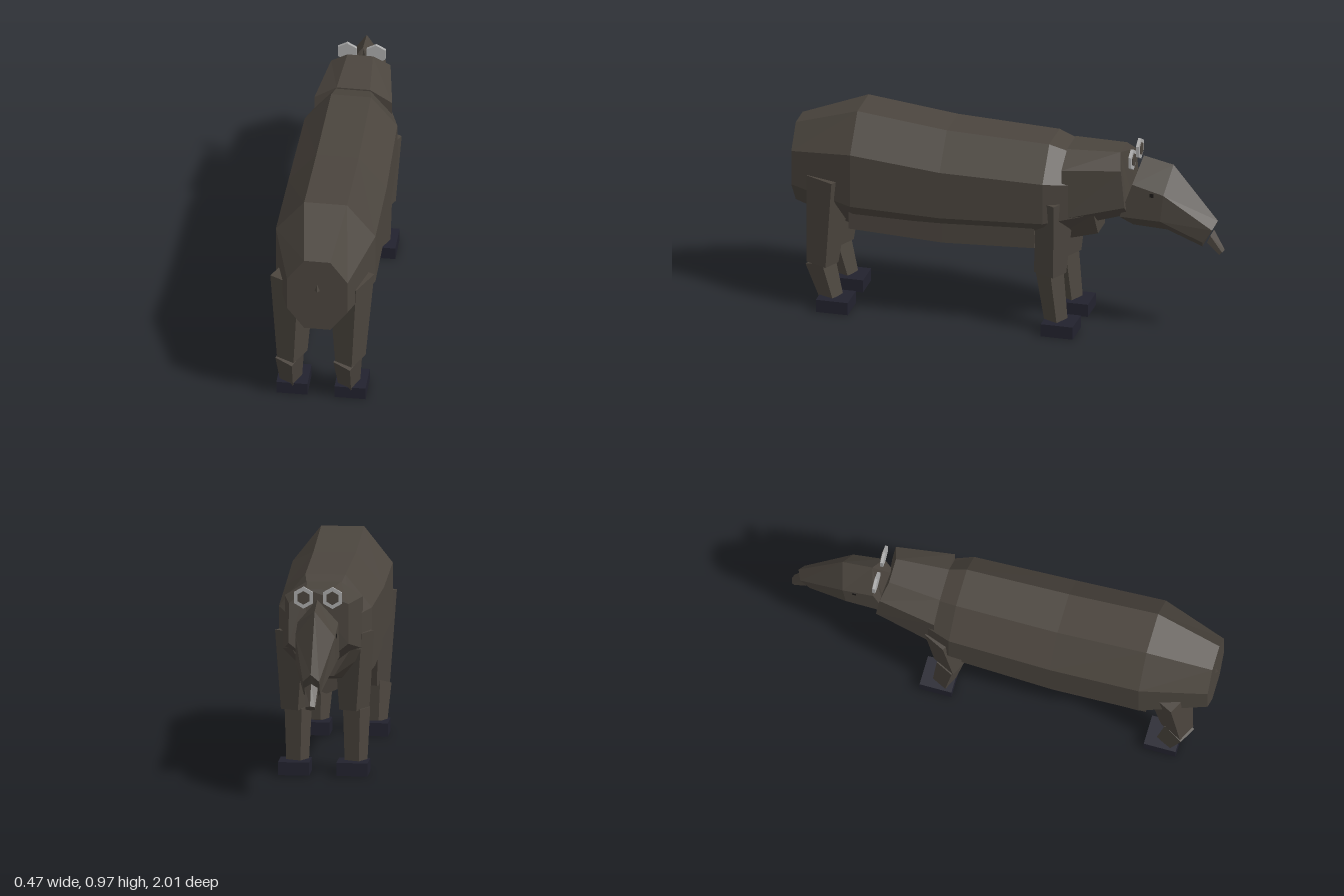
import * as THREE from 'three';

const mat = (name, color, flat = true) => {
  const m = new THREE.MeshStandardMaterial({ color, flatShading: flat });
  m.name = name;
  return m;
};

// Skins a list of rings (each counter-clockwise seen from its start end) and caps both ends.
function loft(rings) {
  const n = rings[0].length, idx = [], last = (rings.length - 1) * n;
  for (let i = 0; i < rings.length - 1; i++) {
    for (let j = 0; j < n; j++) {
      const a = i * n + j, b = i * n + (j + 1) % n;
      idx.push(a, a + n, b + n, a, b + n, b);
    }
  }
  for (let j = 1; j < n - 1; j++) {
    idx.push(0, j, j + 1, last, last + j + 1, last + j);
  }
  const g = new THREE.BufferGeometry();
  g.setAttribute('position', new THREE.Float32BufferAttribute(rings.flat(2), 3));
  g.setIndex(idx);
  const flat = g.toNonIndexed();
  flat.computeVertexNormals();
  return flat;
}

// Eight-sided ring: half width w, heights of top, upper side, lower side, bottom, and their z.
function octRing(w, [t, hi, lo, b], z) {
  const [zt, zh, zl, zb] = Array.isArray(z) ? z : [z, z, z, z];
  const k = w * 0.43;
  return [[k, t, zt], [-k, t, zt], [-w, hi, zh], [-w, lo, zl],
    [-k, b, zb], [k, b, zb], [w, lo, zl], [w, hi, zh]];
}

// Six-sided ring with a ridge on top and below: each entry is [y, z].
function ridgeRing(w, [t, hi, lo, b]) {
  return [[0, ...t], [-w, ...hi], [-w, ...lo], [0, ...b], [w, ...lo], [w, ...hi]];
}

// Four-sided ring for the legs, slightly turned about the vertical axis.
function legRing(x, y, z, sx, sz, yaw, tilt = 0) {
  return [[1, -1], [-1, -1], [-1, 1], [1, 1]].map(([u, v]) => {
    const px = u * sx / 2, pz = v * sz / 2;
    const rz = -px * Math.sin(yaw) + pz * Math.cos(yaw);
    return [x + px * Math.cos(yaw) + pz * Math.sin(yaw), y + rz * tilt, z + rz];
  });
}

export function createModel() {
  const model = new THREE.Group();
  model.name = 'animal';
  const hide = mat('hide brown', 0x4b453e);
  const hoofMat = mat('hoof black', 0x22222e);
  const earMat = mat('ear grey', 0xaaaaaa);
  const eyeMat = mat('eye dark', 0x1c1a18);
  const add = (name, geo, material, parent = model) => {
    const m = new THREE.Mesh(geo, material);
    m.name = name;
    parent.add(m);
    return m;
  };

  // Torso, rump first
  add('body', loft([
    octRing(0.139, [0.865, 0.755, 0.59, 0.483], 1.0),
    octRing(0.228, [0.97, 0.805, 0.55, 0.4], 0.7),
    octRing(0.225, [0.922, 0.765, 0.54, 0.405], 0.28),
    octRing(0.212, [0.905, 0.755, 0.56, 0.425], -0.2),
    octRing(0.135, [0.83, 0.74, 0.6, 0.475], -0.42),
  ]), hide);

  // Belly, a ridged keel under the torso
  const belly = (w, z, low) => ridgeRing(w,
    [[low + 0.28, z], [low + 0.21, z], [low + 0.075, z], [low, z]]);
  add('belly', loft([belly(0.18, 0.72, 0.345), belly(0.185, 0.28, 0.328), belly(0.175, -0.15, 0.345)]), hide);

  // Neck
  add('neck', loft([
    octRing(0.178, [0.885, 0.82, 0.58, 0.5], -0.28),
    octRing(0.136, [0.89, 0.83, 0.65, 0.585], [-0.525, -0.548, -0.565, -0.56]),
  ]), hide);

  // Head and drooping snout
  add('head', loft([
    ridgeRing(0.093, [[0.86, -0.62], [0.75, -0.59], [0.585, -0.53], [0.512, -0.57]]),
    ridgeRing(0.09, [[0.83, -0.76], [0.71, -0.735], [0.58, -0.72], [0.505, -0.73]]),
    ridgeRing(0.037, [[0.575, -0.968], [0.54, -0.95], [0.475, -0.905], [0.44, -0.895]]),
  ]), hide);
  add('snoutTip', loft([
    ridgeRing(0.03, [[0.53, -0.95], [0.51, -0.94], [0.475, -0.925], [0.46, -0.92]]),
    ridgeRing(0.022, [[0.435, -1.0], [0.43, -0.993], [0.417, -0.98], [0.412, -0.972]]),
  ]), hide);

  // Ears and eyes
  for (const side of [1, -1]) {
    const ear = new THREE.Group();
    ear.name = side > 0 ? 'leftEar' : 'rightEar';
    ear.position.set(side * 0.066, 0.863, -0.583);
    model.add(ear);
    add('earDisc', new THREE.CylinderGeometry(0.05, 0.05, 0.014, 6).rotateX(Math.PI / 2), earMat, ear);
    add('earInner', new THREE.CylinderGeometry(0.031, 0.031, 0.006, 6).rotateX(Math.PI / 2), hide, ear)
      .position.z = -0.008;
    add('eye', new THREE.BoxGeometry(0.008, 0.018, 0.018), eyeMat).position.set(side * 0.089, 0.705, -0.68);
  }

  // Small tail
  add('tail', new THREE.ConeGeometry(0.012, 0.035, 4), hide).position.set(0, 0.717, 1.0);

  // Legs: thigh, shin and hoof, the same turn on both sides
  const yaw = -0.46;
  for (const x of [0.133, -0.133]) {
    const side = x > 0 ? 'Left' : 'Right';
    add('hind' + side + 'Thigh', loft([
      legRing(x, 0.655, 0.82, 0.15, 0.15, yaw),
      legRing(x, 0.22, 0.855, 0.09, 0.115, yaw),
    ]), hide);
    add('hind' + side + 'Shin', loft([
      legRing(x - 0.01, 0.225, 0.868, 0.09, 0.1, yaw, -0.3),
      legRing(x - 0.01, 0.05, 0.815, 0.07, 0.075, yaw, -0.3),
    ]), hide);
    add('fore' + side + 'Thigh', loft([
      legRing(x, 0.655, -0.24, 0.15, 0.11, yaw),
      legRing(x, 0.29, -0.215, 0.09, 0.115, yaw),
    ]), hide);
    add('fore' + side + 'Shin', loft([
      legRing(x - 0.01, 0.295, -0.21, 0.09, 0.09, yaw),
      legRing(x - 0.01, 0.05, -0.24, 0.075, 0.075, yaw),
    ]), hide);
    for (const [name, z] of [['hind', 0.792], ['fore', -0.265]]) {
      add(name + side + 'Hoof', new THREE.BoxGeometry(0.142, 0.06, 0.15), hoofMat).position.set(x, 0.03, z);
    }
  }

  model.children.forEach((c) => { c.position.x -= 0.008; });
  return model;
}
